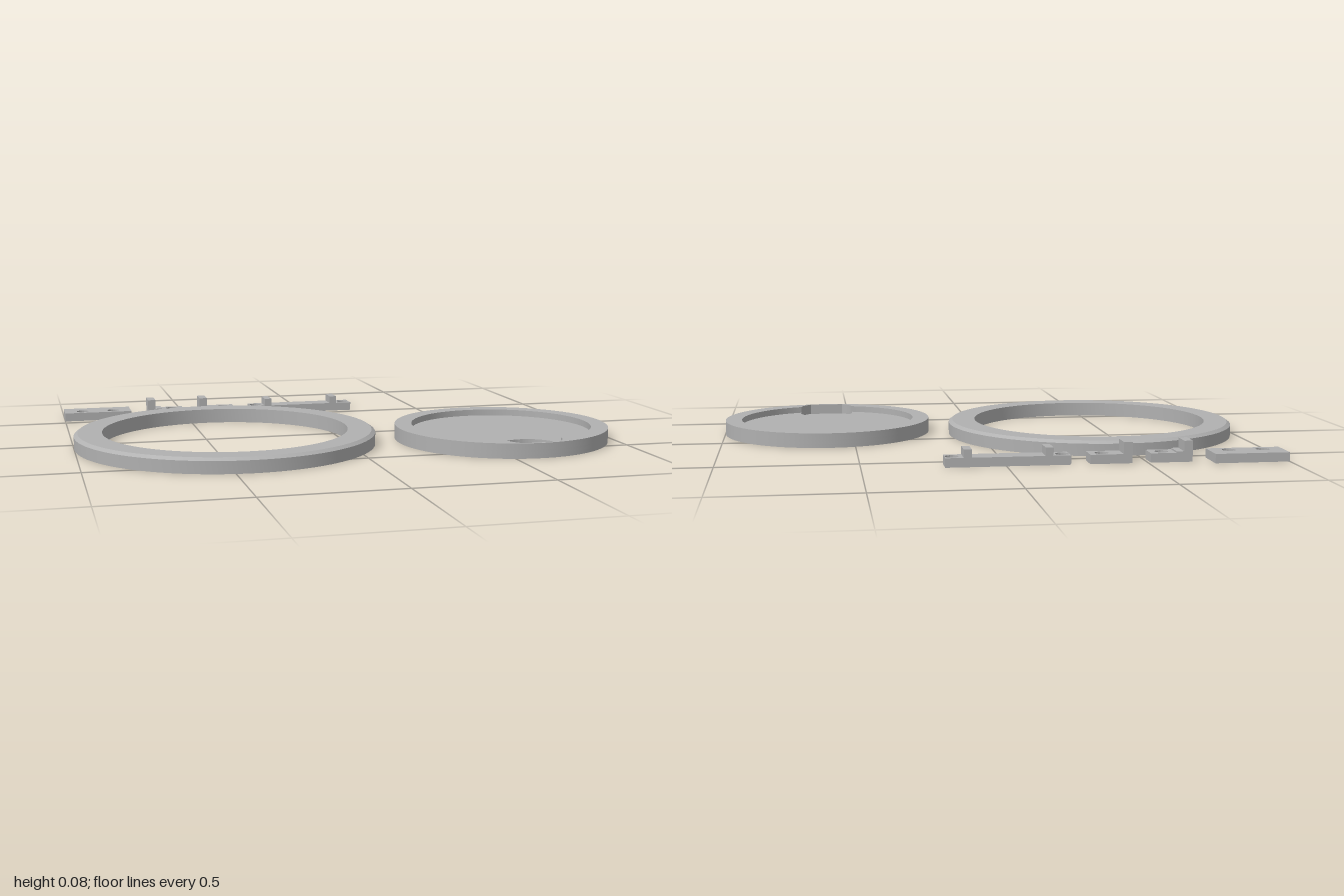
import * as THREE from 'three';
import { toCreasedNormals } from 'three/addons/utils/BufferGeometryUtils.js';

export function createModel() {
  const model = new THREE.Group();
  const grey = new THREE.MeshStandardMaterial({ color: 0xb0b0b0 });
  grey.name = 'grey plastic';

  const add = (name, geometry, parent = model) => {
    const mesh = new THREE.Mesh(geometry, grey);
    mesh.name = name;
    parent.add(mesh);
    return mesh;
  };
  const named = (name, x, z) => {
    const group = new THREE.Group();
    group.name = name;
    group.position.set(x, 0, z);
    model.add(group);
    return group;
  };
  // Extrudes a plan drawn in (x, z) between two heights
  const slab = (shape, bottom, top) => {
    const g = new THREE.ExtrudeGeometry(shape, { depth: top - bottom, bevelEnabled: false, curveSegments: 72 });
    g.rotateX(Math.PI / 2).translate(0, top, 0);
    return toCreasedNormals(g, 0.5);
  };
  const circle = (r, x = 0, z = 0) => new THREE.Shape().absarc(x, z, r, 0, Math.PI * 2);

  // Chamfered ring
  const ringProfile = [
    [0.457, 0], [0.56, 0], [0.56, 0.045], [0.546, 0.055], [0.457, 0.055], [0.457, 0],
  ].map(([r, y]) => new THREE.Vector2(r, y));
  const ring = add('ring', toCreasedNormals(new THREE.LatheGeometry(ringProfile, 128), 0.4));
  ring.position.set(-0.44, 0, 0.092);

  // Round tray: recess joined to a deeper finger notch with a flat outer edge
  const R = 0.404, recess = 0.34, notch = 0.108, d = 0.307, flat = 0.392;
  const v = (d * d + recess * recess - notch * notch) / (2 * d);
  const u = Math.sqrt(recess * recess - v * v);
  const a = Math.atan2(v, u), b = Math.atan2(v - d, u), f = Math.asin((flat - d) / notch);

  const notchHole = new THREE.Path().absarc(0, d, notch, Math.PI - f, Math.PI * 2 + f);
  const recessHole = new THREE.Path()
    .absarc(0, 0, recess, Math.PI - a, Math.PI * 2 + a)
    .absarc(0, d, notch, b, f)
    .absarc(0, d, notch, Math.PI - f, Math.PI - b);

  const tray = named('tray', 0.595, 0.25);
  add('trayBase', slab(circle(R), 0, 0.015), tray);
  const floor = circle(R);
  floor.holes.push(notchHole);
  add('trayFloor', slab(floor, 0.015, 0.031), tray);
  const rim = circle(R);
  rim.holes.push(recessHole);
  add('trayRim', slab(rim, 0.031, 0.055), tray);

  // Small drilled parts behind the ring
  const baseTop = 0.033, zFront = -0.539, zBack = -0.614, holeZ = -0.578, holeR = 0.024;
  const drilled = (x0, x1, back, holes) => {
    const s = new THREE.Shape();
    s.moveTo(x0, back).lineTo(x1, back).lineTo(x1, zFront).lineTo(x0, zFront).closePath();
    holes.forEach((x) => s.holes.push(circle(holeR, x, holeZ)));
    return slab(s, 0, baseTop);
  };
  const block = (x0, x1, top) => new THREE.BoxGeometry(x1 - x0, top - baseTop, zFront - zBack)
    .translate((x0 + x1) / 2, (top + baseTop) / 2, (zFront + zBack) / 2);

  add('drilledPlate', drilled(-1, -0.73, -0.656, [-0.927, -0.802]));

  // Angle brackets
  for (const [name, x] of [['outerBracket', -0.66], ['innerBracket', -0.444]]) {
    const bracket = named(name, 0, 0);
    add('bracketBase', drilled(x, x + 0.15, zBack, [x + 0.103]), bracket);
    add('bracketUpright', block(x, x + 0.031, 0.075), bracket);
    if (name === 'outerBracket') add('bracketStep', block(x + 0.031, x + 0.058, 0.038), bracket);
  }

  // Long bar with two uprights
  const bar = named('bar', 0, 0);
  add('barBase', drilled(-0.226, 0.213, zBack, [-0.2, 0.187]), bar);
  for (const x of [-0.164, 0.121]) add('barUpright', block(x, x + 0.028, 0.062), bar);

  return model;
}
